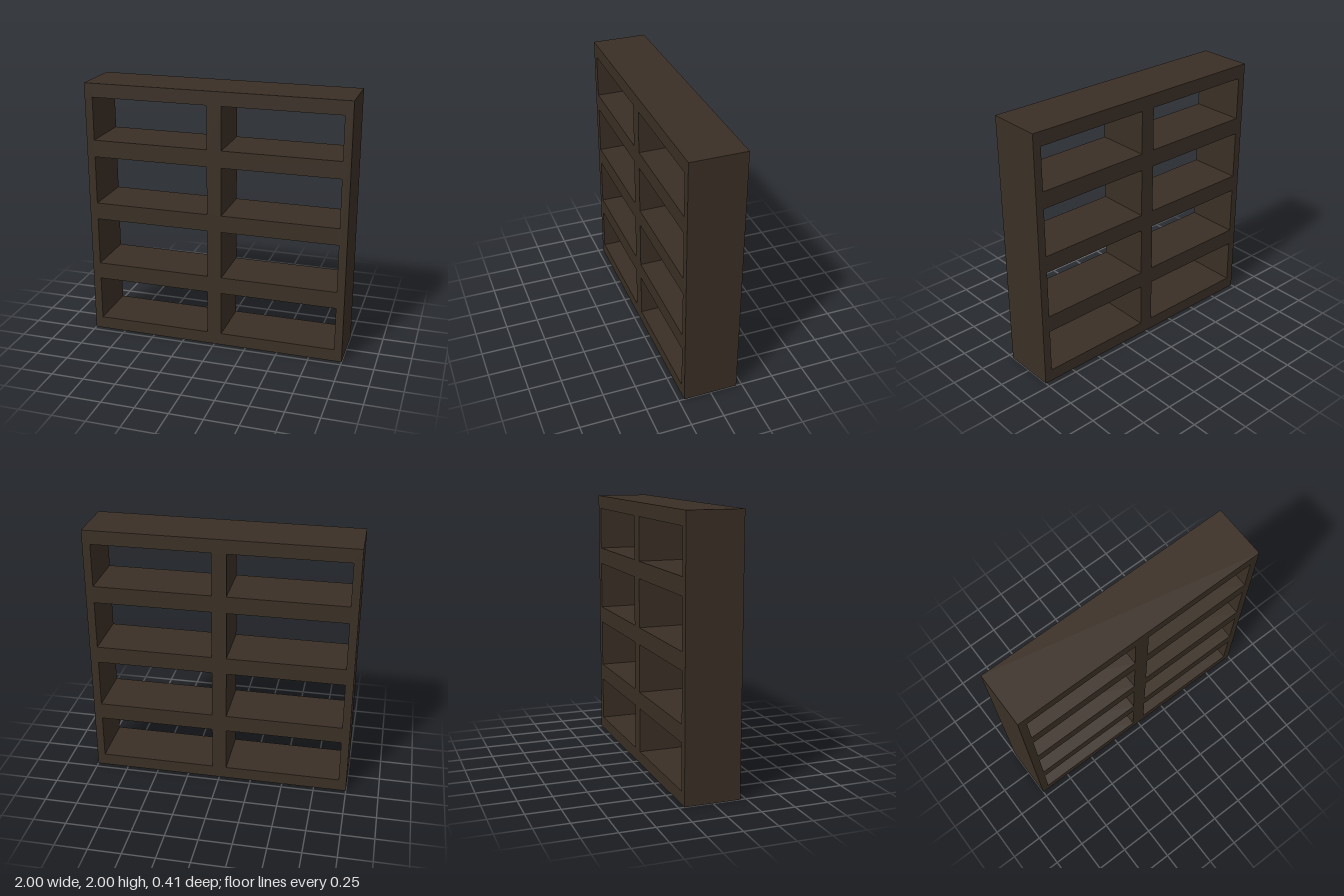
import * as THREE from 'three';

export function createModel() {
  const group = new THREE.Group();
  group.name = 'openShelf';
  const darkWood = new THREE.MeshStandardMaterial({ color: 0x3a2f25 });
  darkWood.name = 'darkWood';

  const depth = 0.414;
  const rect = (Type, x0, x1, y0, y1) => new Type([
    new THREE.Vector2(x0, y0), new THREE.Vector2(x1, y0),
    new THREE.Vector2(x1, y1), new THREE.Vector2(x0, y1),
  ]);

  // Outer frame, with one through opening per compartment
  const outline = rect(THREE.Shape, -1, 1, 0, 2);
  const columns = [[-0.94, -0.055], [0.055, 0.94]];
  const rows = [[0.095, 0.437], [0.567, 0.937], [1.067, 1.437], [1.567, 1.895]];
  for (const [x0, x1] of columns) {
    for (const [y0, y1] of rows) outline.holes.push(rect(THREE.Path, x0, x1, y0, y1));
  }

  // Frame, shelves and centre divider as one solid
  const geometry = new THREE.ExtrudeGeometry(outline, { depth, bevelEnabled: false });
  geometry.translate(0, 0, -depth / 2);
  const frame = new THREE.Mesh(geometry, darkWood);
  frame.name = 'shelfFrame';
  group.add(frame);
  return group;
}
